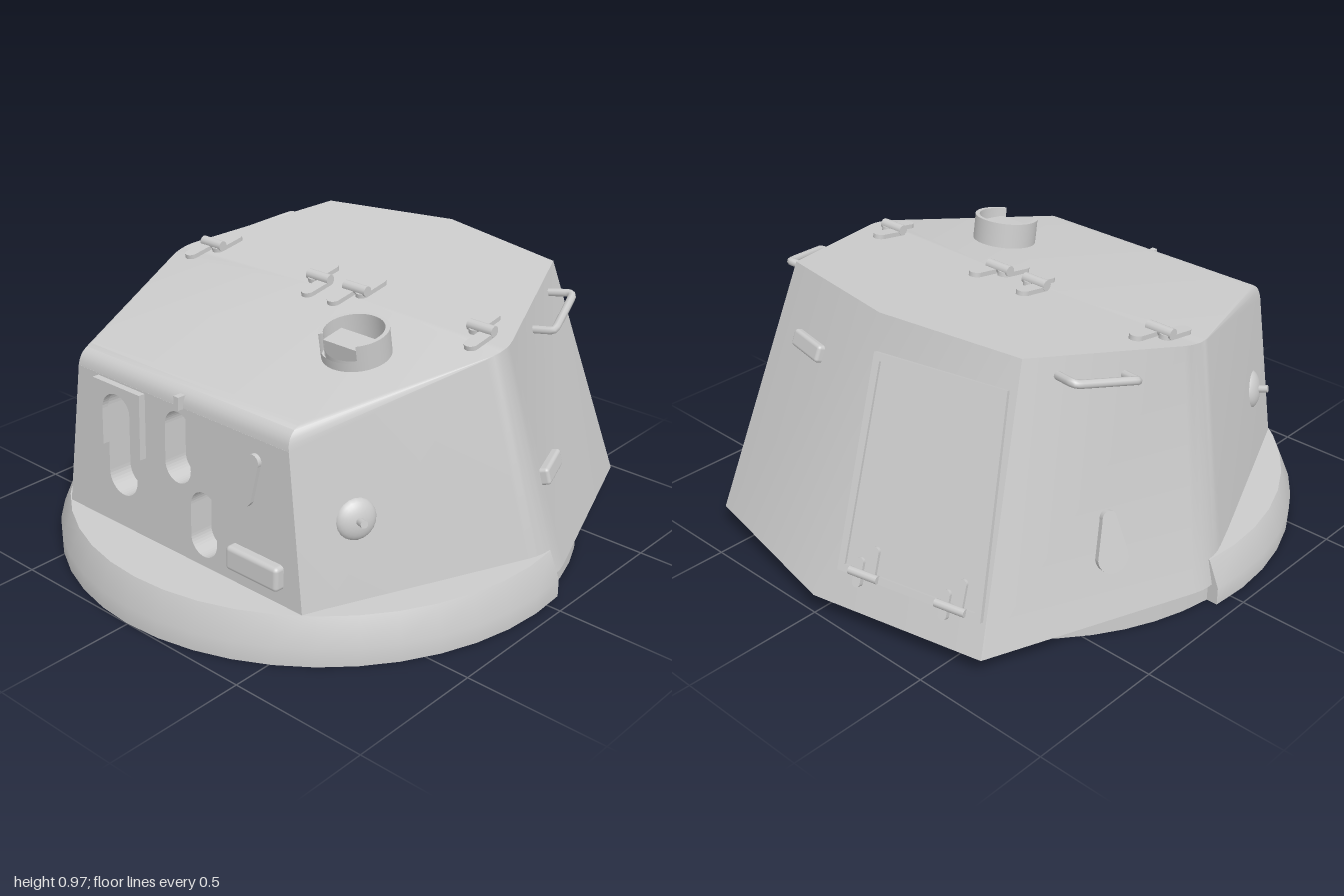
import * as THREE from 'three';
import { toCreasedNormals } from 'three/addons/utils/BufferGeometryUtils.js';
import { RoundedBoxGeometry } from 'three/addons/geometries/RoundedBoxGeometry.js';

const V = (x, y, z) => new THREE.Vector3(x, y, z);
const grey = new THREE.MeshStandardMaterial({ color: 0xcccccc });
const greyThin = new THREE.MeshStandardMaterial({ color: 0xcccccc, side: THREE.DoubleSide });

function add(parent, name, geometry, x = 0, y = 0, z = 0, material = grey) {
  const mesh = new THREE.Mesh(geometry, material);
  mesh.name = name;
  mesh.position.set(x, y, z);
  parent.add(mesh);
  return mesh;
}

// Skin stacked rings of points and cap both ends; skip(k, i) leaves a quad open
function loft(rings, skip = () => false) {
  const pos = [], n = rings[0].length;
  const tri = (a, b, c) => {
    const area = b.clone().sub(a).cross(c.clone().sub(a)).length();
    if (area > 1e-8) for (const p of [a, b, c]) pos.push(p.x, p.y, p.z);
  };
  const mean = ring => ring.reduce((s, p) => s.add(p), V(0, 0, 0)).divideScalar(n);
  const low = rings[0], high = rings[rings.length - 1];
  const lowMid = mean(low), highMid = mean(high);
  for (let i = 0; i < n; i++) {
    const j = (i + 1) % n;
    for (let k = 0; k < rings.length - 1; k++) {
      if (skip(k, i)) continue;
      tri(rings[k][i], rings[k][j], rings[k + 1][j]);
      tri(rings[k][i], rings[k + 1][j], rings[k + 1][i]);
    }
    tri(lowMid, low[j], low[i]);
    tri(highMid, high[i], high[j]);
  }
  const g = new THREE.BufferGeometry();
  g.setAttribute('position', new THREE.Float32BufferAttribute(pos, 3));
  return toCreasedNormals(g, 0.52);
}

// Hull outline: front corner, softened side corner and back corner, mirrored
function hullRing(front, mid, back, rear) {
  const bend = new THREE.QuadraticBezierCurve3(
    mid.clone().lerp(front, 0.1), mid, mid.clone().lerp(back, 0.1));
  const half = [front, ...bend.getPoints(5), back];
  return [...half, rear, ...half.map(p => V(-p.x, p.y, p.z)).reverse()];
}

const stadium = (Type, x, y, w, h) => {
  const s = new Type(), r = w / 2, d = h / 2 - r;
  s.absarc(x, y + d, r, 0, Math.PI);
  s.absarc(x, y - d, r, Math.PI, 2 * Math.PI);
  s.closePath();
  return s;
};
const polygon = (Type, pts) => new Type(pts.map(p => new THREE.Vector2(...p)));
const slab = (shape, depth) => new THREE.ExtrudeGeometry(shape, { depth, bevelEnabled: false, curveSegments: 10 });

function teardrop() {
  const s = new THREE.Shape();
  s.absarc(0, -0.05, 0.055, Math.PI, 2 * Math.PI);
  s.absarc(0, 0.08, 0.025, 0, Math.PI);
  s.closePath();
  return slab(s, 0.02);
}

// Plane through three points, mirrored in x when side is -1
function wall(a, b, c, side = 1) {
  const n = b.clone().sub(a).cross(c.clone().sub(a)).normalize();
  if (n.dot(a.clone().sub(V(0, 0.5, 0))) < 0) n.negate();
  return { o: V(a.x * side, a.y, a.z), n: V(n.x * side, n.y, n.z) };
}

// Group lying on a wall, its z pointing outwards; the coordinate on `axis` is solved
function onWall(parent, name, { o, n }, p, axis) {
  p[axis] = 0;
  p[axis] = o.clone().sub(p).dot(n) / n[axis];
  const up = Math.abs(n.y) > 0.9 ? V(0, 0, -1) : V(0, 1, 0);
  const x = up.cross(n).normalize();
  const g = new THREE.Group();
  g.name = name;
  g.position.copy(p);
  g.quaternion.setFromRotationMatrix(new THREE.Matrix4().makeBasis(x, n.clone().cross(x), n));
  parent.add(g);
  return g;
}

export function createModel() {
  const model = new THREE.Group();
  model.name = 'turret';

  // Hull, with a rounded edge between front and roof
  const low = { front: V(0.567, 0.07, 0.769), mid: V(0.935, 0.07, -0.07), back: V(0.635, 0.07, -0.87), rear: V(0, 0.07, -1) };
  const high = { mid: V(0.75, 0.864, 0.02), back: V(0.52, 0.955, -0.56), rear: V(0, 0.97, -0.655) };
  const brow = new THREE.QuadraticBezierCurve3(V(0.487, 0.69, 0.742), V(0.478, 0.752, 0.74), V(0.478, 0.762, 0.67)).getPoints(6);
  const rings = [hullRing(low.front, low.mid, low.back, low.rear),
    ...brow.map(f => hullRing(f, high.mid, high.back, high.rear))];
  const last = rings[0].length - 1;
  add(model, 'hull', loft(rings, (k, i) => k === 0 && i === last));

  // Front plate with three slots
  const front = new THREE.Group();
  front.name = 'front';
  front.position.z = 0.772;
  front.rotation.x = -0.043;
  model.add(front);
  const plate = polygon(THREE.Shape, [[-0.567, 0.07], [0.567, 0.07], [0.487, 0.691], [-0.487, 0.691]]);
  plate.holes.push(stadium(THREE.Path, -0.27, 0.47, 0.14, 0.38),
    stadium(THREE.Path, 0, 0.545, 0.12, 0.25), stadium(THREE.Path, 0.12, 0.31, 0.12, 0.23));
  add(front, 'frontPlate', slab(plate, 0.09), 0, 0, -0.09);
  add(front, 'slotBacking', new THREE.BoxGeometry(0.8, 0.54, 0.02), 0, 0.41, -0.1);
  const hood = polygon(THREE.Shape, [[-0.385, 0.455], [-0.34, 0.455], [-0.34, 0.585]]);
  hood.absarc(-0.27, 0.585, 0.07, Math.PI, 0, true);
  for (const [x, y] of [[-0.2, 0.455], [-0.155, 0.455], [-0.155, 0.685], [-0.385, 0.685]]) hood.lineTo(x, y);
  add(front, 'slotHood', slab(hood, 0.025));
  add(front, 'frontPortCover', teardrop(), 0.315, 0.545, -0.005).rotation.z = -0.45;
  add(front, 'frontVisor', new RoundedBoxGeometry(0.225, 0.085, 0.06, 3, 0.015), 0.363, 0.258, 0.005);
  add(front, 'sightHook', new THREE.BoxGeometry(0.022, 0.045, 0.05), 0.015, 0.71, -0.005);

  // Base ring: bevelled front part, thin rim behind
  const baseRing = (r, y) => {
    const a = Math.acos(-0.12 / r);
    return Array.from({ length: 25 }, (_, i) => {
      const t = a * (i / 12 - 1);
      return V(r * Math.sin(t), y, 0.05 + r * Math.cos(t));
    });
  };
  add(model, 'baseRing', loft([baseRing(0.95, 0), baseRing(0.95, 0.065), baseRing(0.91, 0.16)]));
  add(model, 'rearRim', new THREE.CylinderGeometry(0.91, 0.91, 0.07, 24, 1, true, 1.7, 2 * Math.PI - 3.4), 0, 0.035, 0.05, greyThin);

  // Both sides: round ports and grab handles
  for (const s of [1, -1]) {
    const cheek = wall(low.front, low.mid, high.mid, s);
    const port = onWall(model, 'sidePort', cheek, V(0, 0.43, 0.56), 'x');
    const dome = new THREE.SphereGeometry(0.07, 20, 8, 0, 2 * Math.PI, 0, Math.PI / 2).rotateX(Math.PI / 2);
    add(port, 'portDome', dome).scale.z = 0.5;
    add(port, 'portPin', new THREE.CylinderGeometry(0.013, 0.013, 0.07, 10).rotateX(Math.PI / 2), 0, 0, 0.03);
    const path = new THREE.CatmullRomCurve3([V(0.57, 0.88, -0.46), V(0.645, 0.89, -0.48), V(0.665, 0.885, -0.465),
      V(0.73, 0.85, -0.285), V(0.725, 0.84, -0.265), V(0.645, 0.83, -0.245)].map(p => V(s * p.x, p.y, p.z)), false, 'catmullrom', 0.2);
    add(model, 'grabHandle', new THREE.TubeGeometry(path, 36, 0.014, 8));
  }

  // Rear sides: visor on one, port cover on the other
  const flank = s => wall(low.mid, low.back, high.back, s);
  const visor = () => new RoundedBoxGeometry(0.17, 0.06, 0.05, 3, 0.012);
  add(onWall(model, 'sideVisor', flank(1), V(0, 0.405, -0.165), 'x'), 'visor', visor());
  add(onWall(model, 'sidePortCover', flank(-1), V(0, 0.33, -0.4), 'x'), 'cover', teardrop());

  // Rear: visor and hinged door
  const rear = s => wall(low.rear, low.back, high.rear, s);
  add(onWall(model, 'rearVisor', rear(1), V(0.33, 0.745, 0), 'z'), 'visor', visor());
  const door = onWall(model, 'rearDoor', rear(-1), V(-0.31, 0.52, 0), 'z');
  const outline = [[-0.265, -0.36], [0.28, -0.36], [0.225, 0.36], [-0.265, 0.36]];
  const inner = outline.map(([x, y]) => [x - Math.sign(x) * 0.025, y - Math.sign(y) * 0.025]);
  const frame = polygon(THREE.Shape, outline);
  frame.holes.push(polygon(THREE.Path, inner));
  add(door, 'doorFrame', slab(frame, 0.018));
  add(door, 'doorPanel', slab(polygon(THREE.Shape, inner), 0.008));
  for (const x of [-0.16, 0.17]) {
    add(door, 'doorHinge', new THREE.CylinderGeometry(0.014, 0.014, 0.11, 10).rotateZ(Math.PI / 2), x, -0.345, 0.022);
    for (const d of [-0.025, 0.025])
      add(door, 'doorHingeStrap', slab(stadium(THREE.Shape, 0, 0, 0.03, 0.1), 0.02), x + d, -0.345 + Math.abs(d) + d, 0);
  }

  // Roof hinges and periscope
  const roof = wall(high.mid, high.back, high.rear);
  for (const [x, d] of [[-0.625, 0.025], [-0.09, -0.025], [0.08, 0.025], [0.615, -0.025]]) {
    const hinge = onWall(model, 'roofHinge', roof, V(x, 0, -0.03), 'y');
    add(hinge, 'hingePin', new THREE.CylinderGeometry(0.019, 0.019, 0.1, 12).rotateZ(Math.PI / 2), 0, 0, 0.02);
    add(hinge, 'hingeStrap', slab(stadium(THREE.Shape, d, 0.045, 0.048, 0.14), 0.016));
    add(hinge, 'hingeStrap', slab(stadium(THREE.Shape, -d, -0.045, 0.048, 0.14), 0.016));
  }
  const periscope = onWall(model, 'periscope', roof, V(0.35, 0, 0.28), 'y');
  const tube = (r, h, open) => new THREE.CylinderGeometry(r, r, h, 32, 1, true, open, 2 * Math.PI - 2 * open)
    .translate(0, h / 2, 0).rotateX(Math.PI / 2);
  for (const r of [0.115, 0.1]) {
    add(periscope, 'periscopeCollar', tube(r, 0.03, 0), 0, 0, 0, greyThin);
    add(periscope, 'periscopeGuard', tube(r, 0.09, 0.75), 0, 0, 0, greyThin);
  }
  add(periscope, 'guardRim', new THREE.RingGeometry(0.1, 0.115, 32, 1, -Math.PI / 2 + 0.75, 2 * Math.PI - 1.5), 0, 0, 0.09, greyThin);
  add(periscope, 'periscopeHead', new THREE.BoxGeometry(0.16, 0.09, 0.06), 0, -0.02, 0.03);

  return model;
}
